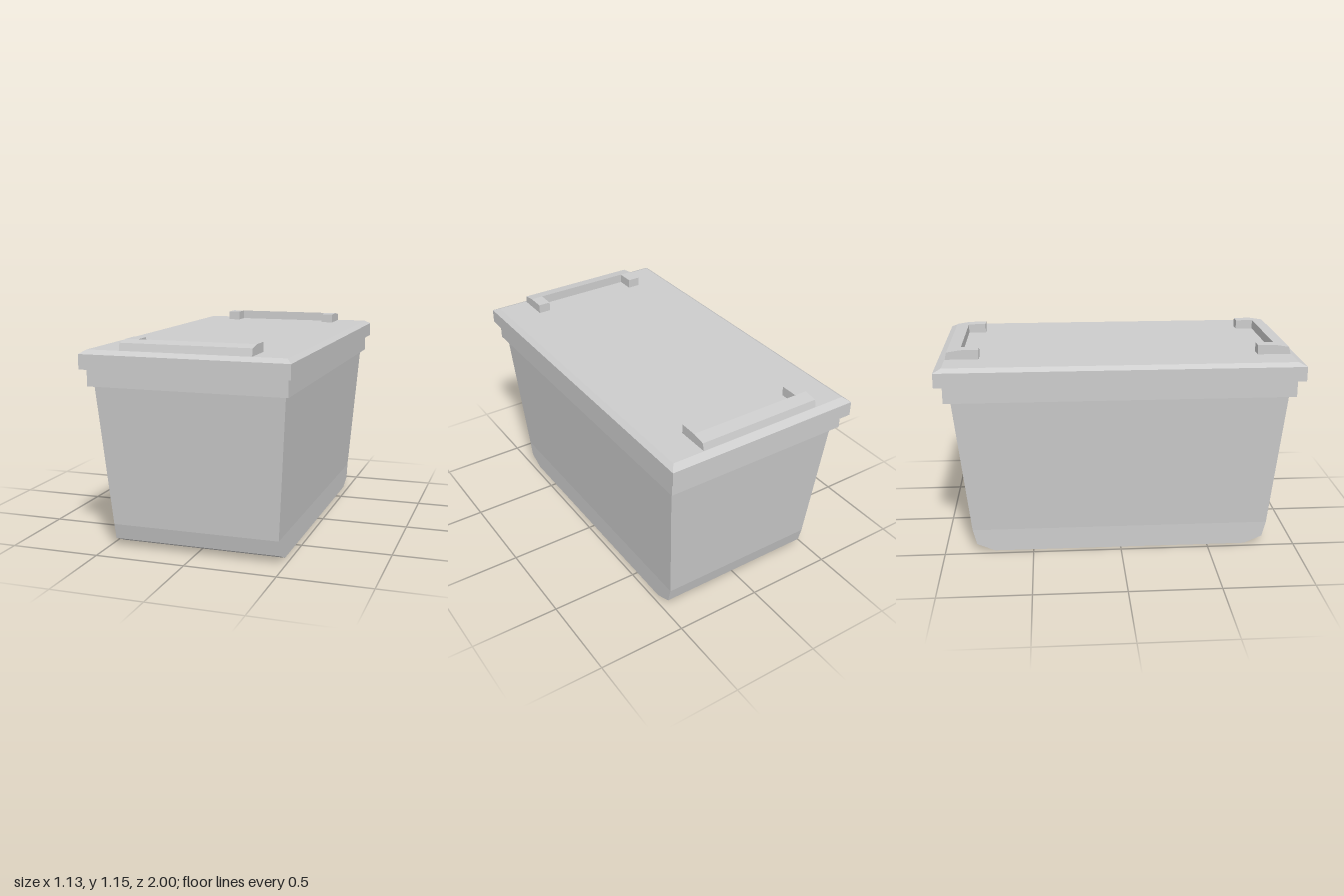
import * as THREE from 'three';

const grey = new THREE.MeshStandardMaterial({ color: 0xcccccc });
grey.name = 'light grey plastic';

// Closed solid through rectangular rings [y, halfX, halfZ], listed bottom to top
function loft(name, rings) {
  const pos = [];
  const corners = rings.map(([y, x, z]) => [[x, y, z], [x, y, -z], [-x, y, -z], [-x, y, z]]);
  const quad = (a, b, c, d) => pos.push(...a, ...b, ...c, ...a, ...c, ...d);
  for (let r = 0; r < corners.length - 1; r++) {
    const lo = corners[r], hi = corners[r + 1];
    for (let i = 0; i < 4; i++) {
      const j = (i + 1) % 4;
      quad(lo[i], lo[j], hi[j], hi[i]);
    }
  }
  const [a, b, c, d] = corners[0];
  quad(d, c, b, a);
  quad(...corners[corners.length - 1]);
  const geo = new THREE.BufferGeometry();
  geo.setAttribute('position', new THREE.Float32BufferAttribute(pos, 3));
  geo.computeVertexNormals();
  const mesh = new THREE.Mesh(geo, grey);
  mesh.name = name;
  return mesh;
}

// Side profile of [z, y] points, extruded along x from x0 to x1
function profileBar(name, points, x0, x1) {
  const shape = new THREE.Shape(points.map(([z, y]) => new THREE.Vector2(-z, y)));
  const geo = new THREE.ExtrudeGeometry(shape, { depth: x1 - x0, bevelEnabled: false });
  geo.rotateY(Math.PI / 2).translate(x0, 0, 0);
  const mesh = new THREE.Mesh(geo, grey);
  mesh.name = name;
  return mesh;
}

// U-shaped handle at the front end of the lid
function makeHandle(name) {
  const handle = new THREE.Group();
  handle.name = name;
  const outer = [[0.955, 1.1], [0.945, 1.14], [0.87, 1.152]];
  const arm = [...outer, [0.77, 1.152], [0.77, 1.1]];
  const bar = [...outer, [0.87, 1.1]];
  handle.add(
    profileBar('handleBar', bar, -0.286, 0.286),
    profileBar('handleArmLeft', arm, 0.286, 0.357),
    profileBar('handleArmRight', arm, -0.357, -0.286)
  );
  return handle;
}

export function createModel() {
  const model = new THREE.Group();
  model.name = 'storageBin';

  // Tapered tub with chamfered front and back bottom edges
  model.add(loft('tub', [
    [0, 0.467, 0.72], [0.043, 0.467, 0.82], [0.13, 0.467, 0.842], [0.906, 0.52, 0.919]
  ]));
  // Stepped rim and bevelled lid
  model.add(loft('rim', [[0.906, 0.543, 0.957], [1.0, 0.543, 0.957]]));
  model.add(loft('lid', [[1.0, 0.567, 1.0], [1.08, 0.567, 1.0], [1.1, 0.537, 0.957]]));

  // Handles at both ends
  const front = makeHandle('frontHandle');
  const back = makeHandle('backHandle');
  back.rotation.y = Math.PI;
  model.add(front, back);
  return model;
}
